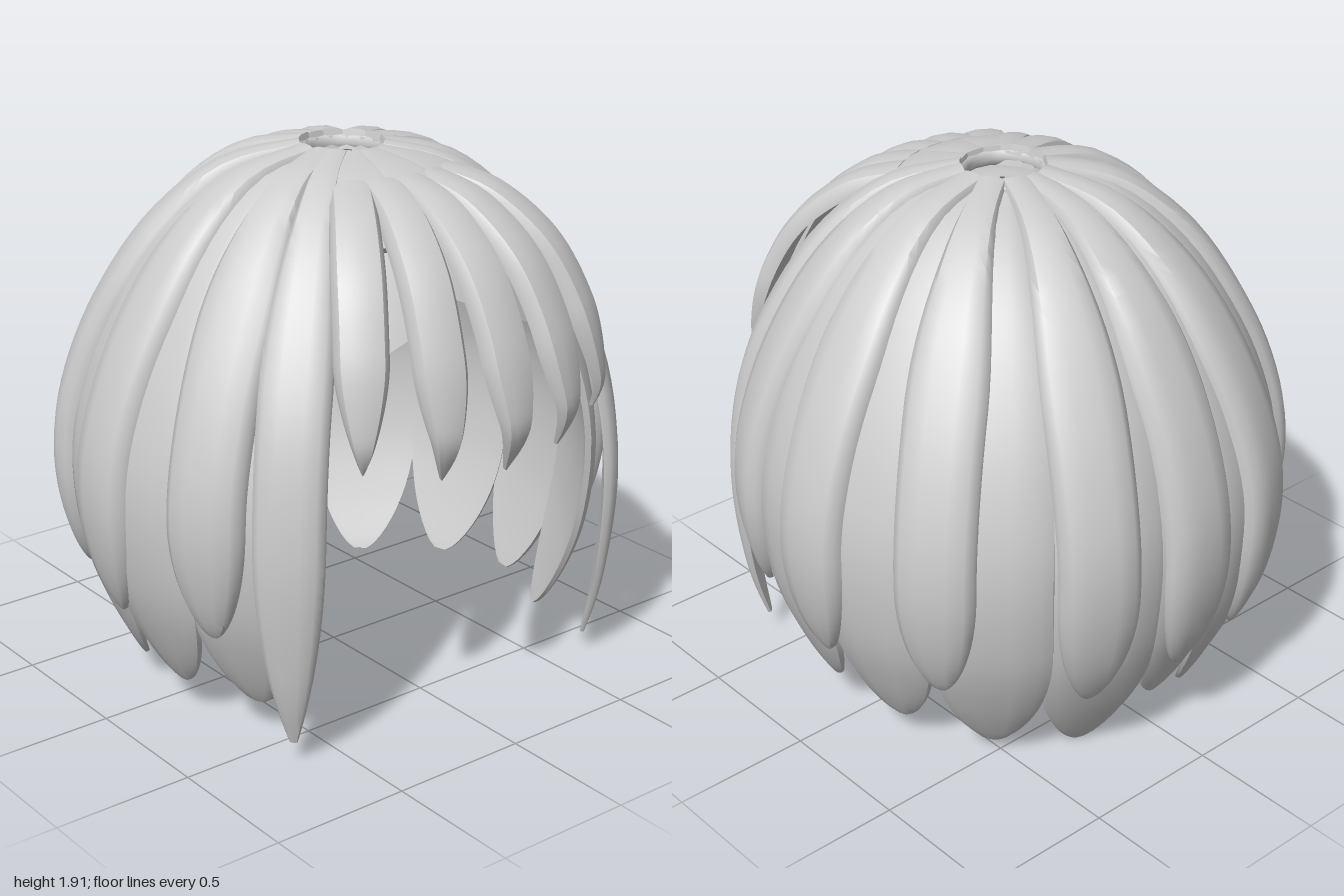
import * as THREE from 'three';
import { toCreasedNormals } from 'three/addons/utils/BufferGeometryUtils.js';
import { ParametricGeometry } from 'three/addons/geometries/ParametricGeometry.js';

const hair = new THREE.MeshStandardMaterial({ color: 0xcccccc, side: THREE.DoubleSide });
hair.name = 'hair grey';

const spline = (pts) => new THREE.SplineCurve(pts.map(([r, y]) => new THREE.Vector2(r, y)));

// Lock profiles: radius from the head axis, height
const headProfile = spline([[0.14, 1.86], [0.4, 1.8], [0.64, 1.61], [0.83, 1.33], [0.945, 1.05],
  [0.985, 0.8], [0.955, 0.52], [0.87, 0.27], [0.74, 0.0]]);
const sideProfile = spline([[0.14, 1.86], [0.4, 1.8], [0.64, 1.61], [0.83, 1.33], [0.94, 1.05],
  [0.985, 0.7], [0.96, 0.3], [0.91, 0.05]]);
const bangProfile = spline([[0.36, 1.8], [0.55, 1.745], [0.74, 1.6], [0.865, 1.4], [0.94, 1.18],
  [0.945, 1.08], [0.89, 0.94]]);
const capProfile = spline([[0.01, 1.87], [0.14, 1.86], [0.4, 1.8], [0.64, 1.61], [0.83, 1.33],
  [0.945, 1.05], [0.985, 0.8], [0.955, 0.5]]);

// Fraction of a falling profile at which it reaches height y
function fractionAt(curve, y) {
  let lo = 0, hi = 1;
  for (let i = 0; i < 30; i++) {
    const mid = (lo + hi) / 2;
    if (curve.getPointAt(mid).y > y) lo = mid; else hi = mid;
  }
  return hi;
}

// The crown sits slightly forward of the middle
const axisZ = (r) => 0.05 * (1 - Math.min(r, 1));

// Bevelled cross-section: across, outward
const section = [[-1, -0.3], [-0.97, 0.35], [-0.78, 0.85], [-0.35, 1], [0.35, 1], [0.78, 0.85], [0.97, 0.35],
  [1, -0.3], [0.6, -0.4], [-0.6, -0.4]];

// One lock of hair; blunt is the width left at the tip, round below 1 swells the tip
function lock(name, { deg, tip, width, profile = headProfile, scale = 1, thick = 0.035, root = 0.4, taper = 0.77, power = 2, round = 0.75, blunt = 0.12 }) {
  const a = THREE.MathUtils.degToRad(deg);
  const rows = 36, n = section.length, pos = [], index = [];
  const end = fractionAt(profile, tip);
  for (let i = 0; i <= rows; i++) {
    const t = 1 - Math.pow(1 - i / rows, 1.3); // closer rows towards the tip
    const p = profile.getPointAt(t * end), d = profile.getTangentAt(t * end);
    const grow = THREE.MathUtils.lerp(root, 1, THREE.MathUtils.smoothstep(t, 0, 0.45));
    const k = Math.max(0, (t - taper) / (1 - taper));
    const narrow = blunt + (1 - blunt) * Math.pow(1 - Math.pow(k, power), round);
    const half = width / 2 * grow * narrow;
    const depth = thick * (0.2 + 0.8 * narrow);
    for (const [u, v] of section) {
      const s = u * half;
      const out = v * depth - s * s / 1.9; // follow the roundness of the head
      const r = p.x * scale - d.y * out;
      const y = p.y - 0.3 * (1 - scale) + d.x * out;
      pos.push(Math.sin(a) * r + Math.cos(a) * s, y, Math.cos(a) * r - Math.sin(a) * s + axisZ(p.x));
    }
  }
  for (let i = 0; i < rows; i++) {
    for (let j = 0; j < n; j++) {
      const k = (j + 1) % n, A = i * n + j, B = A + n, C = (i + 1) * n + k, D = i * n + k;
      index.push(A, B, C, A, C, D);
    }
  }
  const last = rows * n;
  for (let j = 1; j < n - 1; j++) index.push(0, j, j + 1, last, last + j + 1, last + j);
  const g = new THREE.BufferGeometry();
  g.setAttribute('position', new THREE.Float32BufferAttribute(pos, 3));
  g.setIndex(index);
  const mesh = new THREE.Mesh(toCreasedNormals(g, 0.7), hair);
  mesh.name = name;
  return mesh;
}

// Skull cap whose rim climbs from the nape to the forehead
function skullCap() {
  const g = new ParametricGeometry((u, v, target) => {
    const a = (u * 2 - 1) * Math.PI;
    const rim = 1.47 - 0.94 * Math.abs(a) / Math.PI;
    const p = capProfile.getPointAt(v * fractionAt(capProfile, rim + 0.04));
    const r = p.x * 0.875;
    target.set(Math.sin(a) * r, p.y - 0.04, Math.cos(a) * r + axisZ(p.x));
  }, 64, 28);
  const mesh = new THREE.Mesh(g, hair);
  mesh.name = 'skullCap';
  return mesh;
}

export function createModel() {
  const model = new THREE.Group();
  model.name = 'hair';
  model.add(skullCap());

  // Raised ring around the crown hollow
  const ring = new THREE.Mesh(new THREE.TorusGeometry(0.165, 0.035, 8, 16), hair);
  ring.name = 'crownRing';
  ring.rotation.x = Math.PI / 2;
  ring.position.set(0, 1.845, 0.045);
  model.add(ring);

  // Short locks from the crown that the fringe grows out of
  const crown = { tip: 1.66, width: 0.36, scale: 0.995, thick: 0.03, root: 0.5, taper: 0.8, blunt: 0.6 };
  model.add(lock('frontCrownLock', { ...crown, deg: 0 }));

  // Fringe
  const bang = { profile: bangProfile, width: 0.18, thick: 0.045, root: 0.85, taper: 0.66, power: 1.6, round: 1, blunt: 0.04 };
  model.add(lock('middleBang', { ...bang, deg: 0, tip: 0.96 }));

  // Back centre locks
  model.add(lock('innerBackLock', { deg: 180, tip: 0.16, width: 0.36, scale: 0.915 }));
  model.add(lock('outerBackLock', { deg: 180, tip: 0.33, width: 0.28, scale: 0.96, thick: 0.045 }));

  for (const [side, sign] of [['left', 1], ['right', -1]]) {
    model.add(lock(side + 'CrownLock', { ...crown, deg: 28 * sign }));
    model.add(lock(side + 'InnerBang', { ...bang, deg: 16 * sign, tip: 0.98 }));
    model.add(lock(side + 'OuterBang', { ...bang, deg: 32.5 * sign, tip: 1.03 }));
    model.add(lock(side + 'FaceLock', { deg: 46.5 * sign, tip: 0.06, width: 0.24, profile: sideProfile, taper: 0.66, round: 1 }));

    // Long under layer: angle, tip height
    [[58, 0.13], [82, 0.13], [107, 0.1], [134, 0.05], [159, sign > 0 ? 0.01 : 0.04]].forEach(([deg, tip], i) =>
      model.add(lock(`${side}InnerLock${i + 1}`, { deg: deg * sign, tip, width: 0.42, scale: 0.922 + (i % 2) * 0.01 })));

    // Shorter top layer
    [[64, 0.41], [93, 0.37], [123, 0.36], [156, 0.3]].forEach(([deg, tip], i) =>
      model.add(lock(`${side}OuterLock${i + 1}`, { deg: deg * sign, tip, width: 0.28, scale: 0.97, thick: 0.045 })));
  }
  return model;
}
